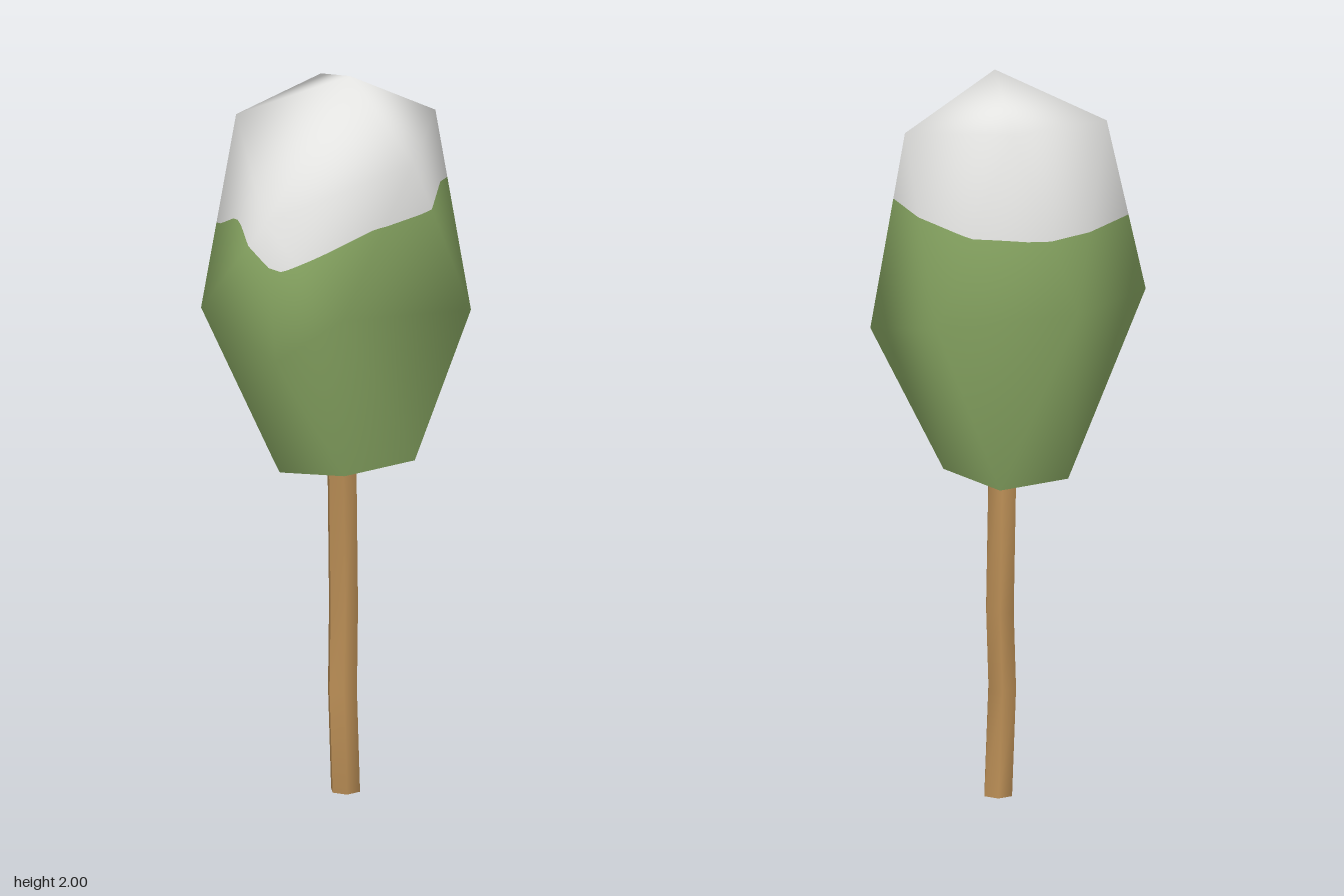
import * as THREE from 'three';

const material = (name, color, side = THREE.FrontSide) => {
  const m = new THREE.MeshStandardMaterial({ color, side });
  m.name = name;
  return m;
};

// Height of the snow edge for each angle around the crown (degrees from the front)
const SNOW_EDGE = [[0, 1.635], [29, 1.545], [60, 1.61], [80, 1.65], [115, 1.655], [150, 1.69],
  [180, 1.66], [215, 1.63], [250, 1.61], [290, 1.605], [335, 1.6], [352, 1.645], [360, 1.635]];

function snowDepth(p) {
  const a = (THREE.MathUtils.radToDeg(Math.atan2(p.x, p.z)) + 360) % 360;
  let i = 1;
  while (i < SNOW_EDGE.length - 1 && SNOW_EDGE[i][0] < a) i++;
  const [a0, y0] = SNOW_EDGE[i - 1], [a1, y1] = SNOW_EDGE[i];
  return p.y - THREE.MathUtils.lerp(y0, y1, (a - a0) / (a1 - a0));
}

// Crown corners: six at the bottom, six at the waist, five at the shoulder, one tip
const CROWN = [
  [0, .922, .18], [.195, .95, .11], [.195, .95, -.12], [.02, .925, -.19], [-.155, .9, -.12], [-.155, .9, .09],
  [.172, 1.3, .318], [.235, 1.4, .145], [.135, 1.31, -.347], [-.165, 1.38, -.32], [-.297, 1.4, .035], [-.128, 1.38, .345],
  [.135, 1.68, .325], [.295, 1.82, -.045], [.06, 1.86, -.285], [-.243, 1.91, -.13], [-.17, 1.88, .2],
  [.04, 2, -.02],
];

function crownFaces() {
  const faces = [];
  for (let i = 0; i < 6; i++) {
    const j = (i + 1) % 6;
    faces.push([i, j, 6 + i], [j, 6 + j, 6 + i]);
  }
  faces.push([11, 6, 12], [6, 7, 12], [7, 13, 12], [7, 8, 13], [8, 14, 13], [8, 9, 14],
    [9, 15, 14], [9, 10, 15], [10, 16, 15], [10, 11, 16], [11, 12, 16]);
  for (let i = 0; i < 5; i++) faces.push([12 + i, 12 + (i + 1) % 5, 17]);
  return faces;
}

// Keep the part of a polygon on one side of the snow edge
function clip(poly, sign) {
  const out = [];
  poly.forEach((a, i) => {
    const b = poly[(i + 1) % poly.length];
    const da = a.d * sign, db = b.d * sign;
    if (da >= 0) out.push(a);
    if ((da >= 0) !== (db >= 0)) {
      const t = da / (da - db);
      out.push({ p: a.p.clone().lerp(b.p, t), n: a.n.clone().lerp(b.n, t).normalize(), d: 0 });
    }
  });
  return out;
}

function meshFromPolygons(name, polys, mat) {
  const pos = [], nor = [];
  for (const poly of polys) {
    for (let i = 1; i + 1 < poly.length; i++) {
      for (const v of [poly[0], poly[i], poly[i + 1]]) {
        pos.push(...v.p.toArray());
        nor.push(...v.n.toArray());
      }
    }
  }
  const g = new THREE.BufferGeometry();
  g.setAttribute('position', new THREE.Float32BufferAttribute(pos, 3));
  g.setAttribute('normal', new THREE.Float32BufferAttribute(nor, 3));
  const mesh = new THREE.Mesh(g, mat);
  mesh.name = name;
  return mesh;
}

function buildCrown(leafMat, snowMat) {
  const faces = crownFaces();
  const base = new THREE.BufferGeometry();
  base.setAttribute('position', new THREE.Float32BufferAttribute(CROWN.flat(), 3));
  base.setIndex(faces.flat());
  base.computeVertexNormals();
  const P = CROWN.map((c) => new THREE.Vector3(...c));
  const N = P.map((_, i) => new THREE.Vector3().fromBufferAttribute(base.attributes.normal, i));

  // Divide each face finely, then split it along the snow edge
  const leaves = [], snow = [], n = 12;
  for (const f of faces) {
    const at = (u, v) => {
      const w = [1 - (u + v) / n, u / n, v / n];
      const mix = (src) => f.reduce((s, k, i) => s.addScaledVector(src[k], w[i]), new THREE.Vector3());
      const p = mix(P);
      return { p, n: mix(N).normalize(), d: snowDepth(p) };
    };
    for (let u = 0; u < n; u++) {
      for (let v = 0; u + v < n; v++) {
        const tris = [[at(u, v), at(u + 1, v), at(u, v + 1)]];
        if (u + v < n - 1) tris.push([at(u + 1, v), at(u + 1, v + 1), at(u, v + 1)]);
        for (const t of tris) {
          leaves.push(clip(t, -1));
          snow.push(clip(t, 1));
        }
      }
    }
  }

  // Flat underside
  const down = new THREE.Vector3(.14, -1, 0).normalize();
  const underside = [5, 4, 3, 2, 1, 0].map((i) => ({ p: P[i], n: down }));

  const crown = new THREE.Group();
  crown.name = 'crown';
  crown.add(meshFromPolygons('foliage', leaves, leafMat),
    meshFromPolygons('snowCap', snow, snowMat),
    meshFromPolygons('crownUnderside', [underside], leafMat));
  return crown;
}

// Crooked trunk: a straight cylinder whose rings are shifted along a bent path
function buildTrunk(mat) {
  const path = [[.012, 0, -.026], [.03, .29, -.003], [0, .515, -.028], [.028, .98, -.002]];
  const g = new THREE.CylinderGeometry(.042, .042, 3, 6, 3);
  const pos = g.attributes.position;
  for (let i = 0; i < pos.count; i++) {
    const [x, y, z] = path[Math.round(pos.getY(i) + 1.5)];
    pos.setXYZ(i, pos.getX(i) + x, y, pos.getZ(i) + z);
  }
  g.computeVertexNormals();
  const mesh = new THREE.Mesh(g, mat);
  mesh.name = 'trunk';
  return mesh;
}

export function createModel() {
  const tree = new THREE.Group();
  tree.name = 'snowyTree';
  tree.add(buildTrunk(material('bark', 0xb98d55)),
    buildCrown(material('leaves', 0x86a461, THREE.DoubleSide), material('snow', 0xe2e2e0, THREE.DoubleSide)));
  return tree;
}
